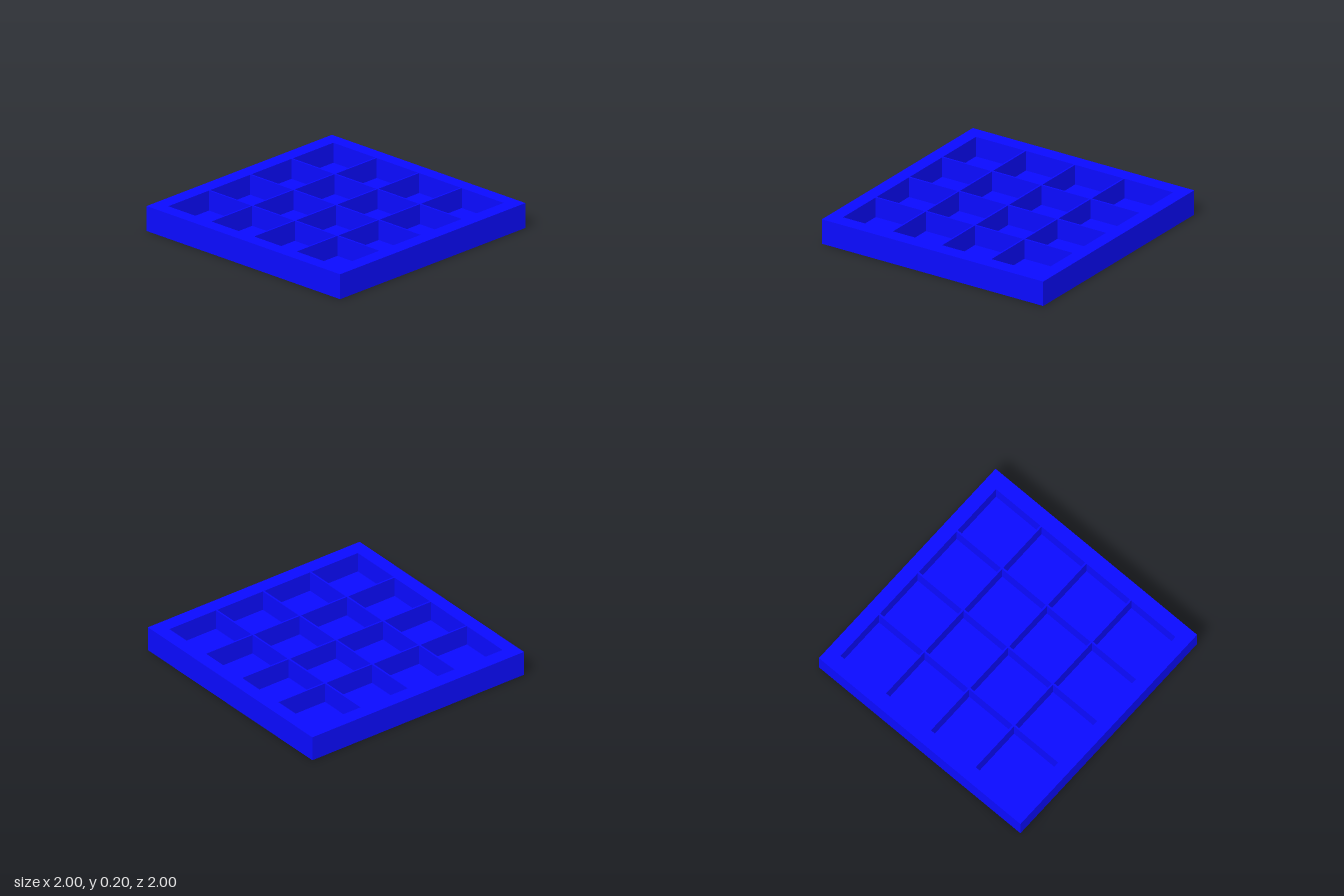
import * as THREE from 'three';

const HEIGHT = 0.2, FLOOR = 0.04, HALF = 1;
const INNER_X = 0.88, INNER_Z = 0.89;
const CELLS = 4, WALL = 0.014;

export function createModel() {
  const tray = new THREE.Group();
  tray.name = 'compartmentTray';
  const blue = new THREE.MeshStandardMaterial({ color: 0x0a0aff });

  const add = (name, geometry, x = 0, y = 0, z = 0) => {
    const mesh = new THREE.Mesh(geometry, blue);
    mesh.name = name;
    mesh.position.set(x, y, z);
    tray.add(mesh);
    return mesh;
  };
  const rectangle = (Type, hx, hz) => new Type([
    new THREE.Vector2(-hx, -hz), new THREE.Vector2(hx, -hz),
    new THREE.Vector2(hx, hz), new THREE.Vector2(-hx, hz),
  ]);

  // Thick outer frame with a rectangular opening
  const outline = rectangle(THREE.Shape, HALF, HALF);
  outline.holes.push(rectangle(THREE.Path, INNER_X, INNER_Z));
  const frame = new THREE.ExtrudeGeometry(outline, { depth: HEIGHT, bevelEnabled: false });
  frame.rotateX(-Math.PI / 2);
  add('outerFrame', frame);

  // Floor filling the opening
  add('floor', new THREE.BoxGeometry(INNER_X * 2, FLOOR, INNER_Z * 2), 0, FLOOR / 2, 0);

  // Thin dividers, flush with the frame: full-length ones front to back,
  // and short ones fitted between them from side to side
  const wallHeight = HEIGHT - FLOOR, wallY = FLOOR + wallHeight / 2;
  const stepX = INNER_X * 2 / CELLS, stepZ = INNER_Z * 2 / CELLS;
  for (let i = 1; i < CELLS; i++) {
    add('longDivider', new THREE.BoxGeometry(WALL, wallHeight, INNER_Z * 2),
      -INNER_X + i * stepX, wallY, 0);
    for (let j = 0; j < CELLS; j++) {
      const x0 = -INNER_X + j * stepX + (j > 0 ? WALL / 2 : 0);
      const x1 = -INNER_X + (j + 1) * stepX - (j < CELLS - 1 ? WALL / 2 : 0);
      add('crossDivider', new THREE.BoxGeometry(x1 - x0, wallHeight, WALL),
        (x0 + x1) / 2, wallY, -INNER_Z + i * stepZ);
    }
  }
  return tray;
}
